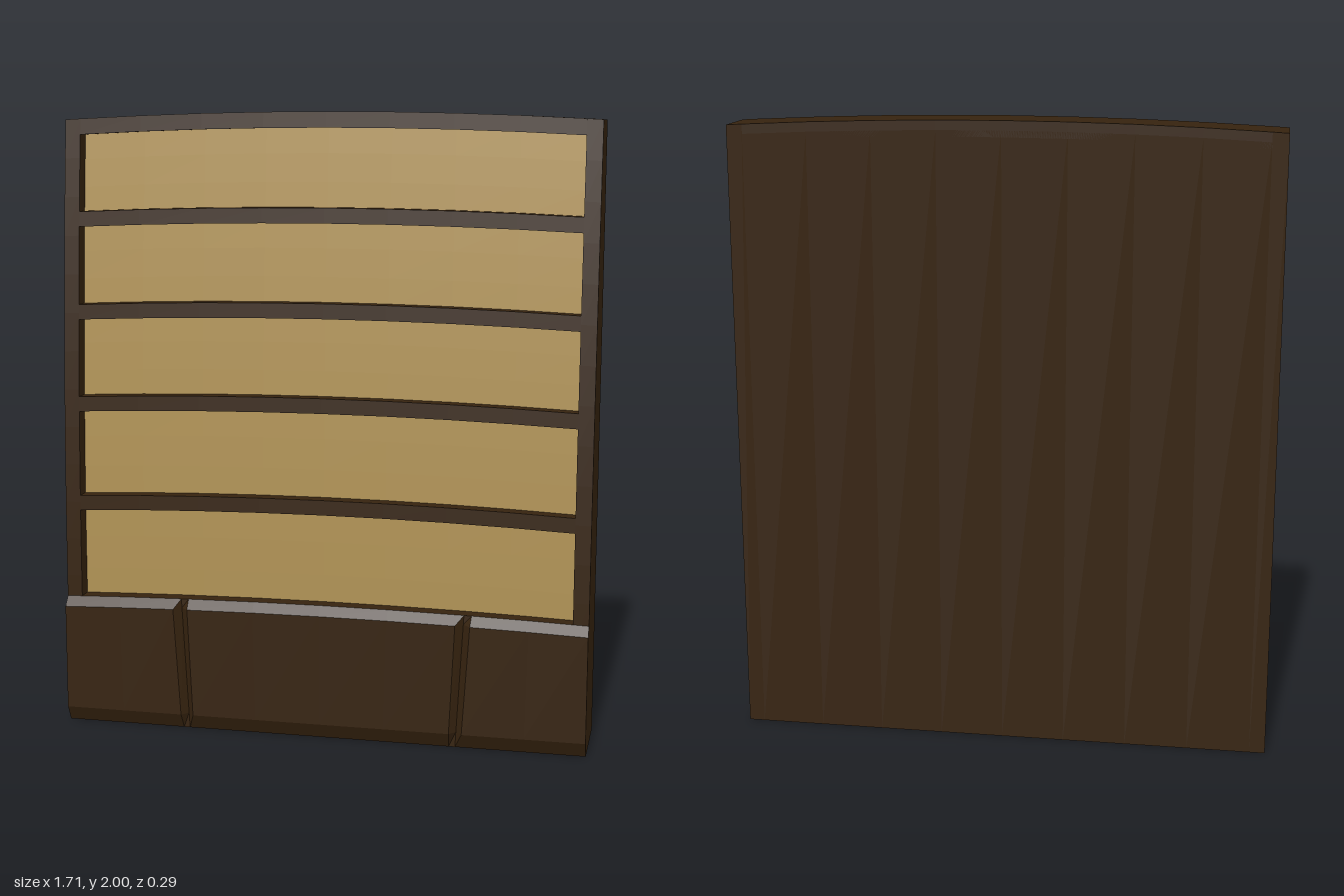
import * as THREE from 'three';

const brown = new THREE.MeshStandardMaterial({ color: 0x36230f });
brown.name = 'dark brown';
const tan = new THREE.MeshStandardMaterial({ color: 0xb09254 });
tan.name = 'tan';

const W = 0.855, INNER = 0.805, BACK = -0.145, RECESS = 0.05;

// front surface leans back toward the top; horizontal edges arch gently
const frontZ = (y) => 0.12 - 0.09 * Math.max(0, (y - 0.43) / 1.57) ** 2;
const arch = (x, drop = 0.025) => -drop * (x / W) ** 2;
const span = (a, b, n) => Array.from({ length: n + 1 }, (_, i) => a + (b - a) * i / n);

// closed flat-shaded solid through matching [x, y, z] loops ordered from -x to +x
// (each loop runs back-bottom, up the front, back-top)
function loft(name, loops, material) {
  const pos = [];
  const tri = (...p) => p.forEach((v) => pos.push(...v));
  const n = loops[0].length;
  for (let i = 0; i + 1 < loops.length; i++) {
    const a = loops[i], b = loops[i + 1];
    for (let j = 0; j < n; j++) {
      const k = (j + 1) % n;
      tri(a[j], b[j], b[k]);
      tri(a[j], b[k], a[k]);
    }
  }
  const first = loops[0], last = loops[loops.length - 1];
  for (let j = 1; j + 1 < n; j++) {
    tri(first[0], first[j], first[j + 1]);
    tri(last[0], last[j + 1], last[j]);
  }
  const geo = new THREE.BufferGeometry();
  geo.setAttribute('position', new THREE.Float32BufferAttribute(pos, 3));
  geo.computeVertexNormals();
  const mesh = new THREE.Mesh(geo, material);
  mesh.name = name;
  return mesh;
}

// arched slab whose front follows the leaning surface, set back by inset
function slab(name, xs, y0, y1, inset, back, material, rows = 1) {
  const loops = xs.map((x) => {
    const dy = arch(x, y1 > 1.9 ? 0.025 : 0.022);
    const bottom = y0 > 0 ? y0 + dy : 0;
    const ys = span(bottom, y1 + dy, rows);
    const zBack = (y) => (back === null ? frontZ(y) - inset - 0.008 : back);
    return [
      [x, ys[0], zBack(ys[0])],
      ...ys.map((y) => [x, y, frontZ(y) - inset]),
      [x, ys[rows], zBack(ys[rows])],
    ];
  });
  return loft(name, loops, material);
}

export function createModel() {
  const model = new THREE.Group();
  model.name = 'slattedPanel';
  const inner = span(-INNER, INNER, 8);

  // solid backing and side rails
  model.add(slab('backing', inner, 0, 1.97, RECESS + 0.004, BACK, brown, 16));
  model.add(slab('rightRail', [-W, -INNER], 0, 2, 0, BACK, brown, 16));
  model.add(slab('leftRail', [INNER, W], 0, 2, 0, BACK, brown, 16));

  // top rail and slats, with a tan panel in each opening between them
  model.add(slab('topRail', inner, 1.95, 2, 0, BACK, brown));
  const bars = [[0.36, 0.43], [0.735, 0.783], [1.06, 1.108], [1.358, 1.406], [1.655, 1.703], [1.95, 2]];
  bars.forEach(([y0, y1], i) => {
    if (i > 0 && i < 5) model.add(slab('slat' + i, inner, y0, y1, 0, 0, brown));
    if (i < 5) {
      model.add(slab('panel' + (i + 1), inner, y1 - 0.01, bars[i + 1][0] + 0.01, RECESS, null, tan, 3));
    }
  });

  // bevelled base with two slanted V grooves: [top x, bottom x, is groove bottom]
  const half = [[0, 0], [0.22, 0.21], [0.44, 0.42], [0.464, 0.44, true], [0.488, 0.46], [0.67, 0.66], [W, W]];
  const columns = [
    ...half.slice(1).reverse().map(([t, b, g]) => [-t, -b, g]),
    ...half,
  ];
  const baseLoops = columns.map(([xt, xb, groove]) => {
    const dy = arch(xt, 0.016);
    const z = groove ? 0.121 : 0.145;
    const at = (y, zz) => [xb + (xt - xb) * y / 0.44, y, zz];
    return [
      at(0, BACK + 0.01), at(0, 0.12), at(0.05, z), at(0.41 + dy, z),
      at(0.44 + dy, 0.12), at(0.44 + dy, BACK + 0.01),
    ];
  });
  model.add(loft('base', baseLoops, brown));
  return model;
}
